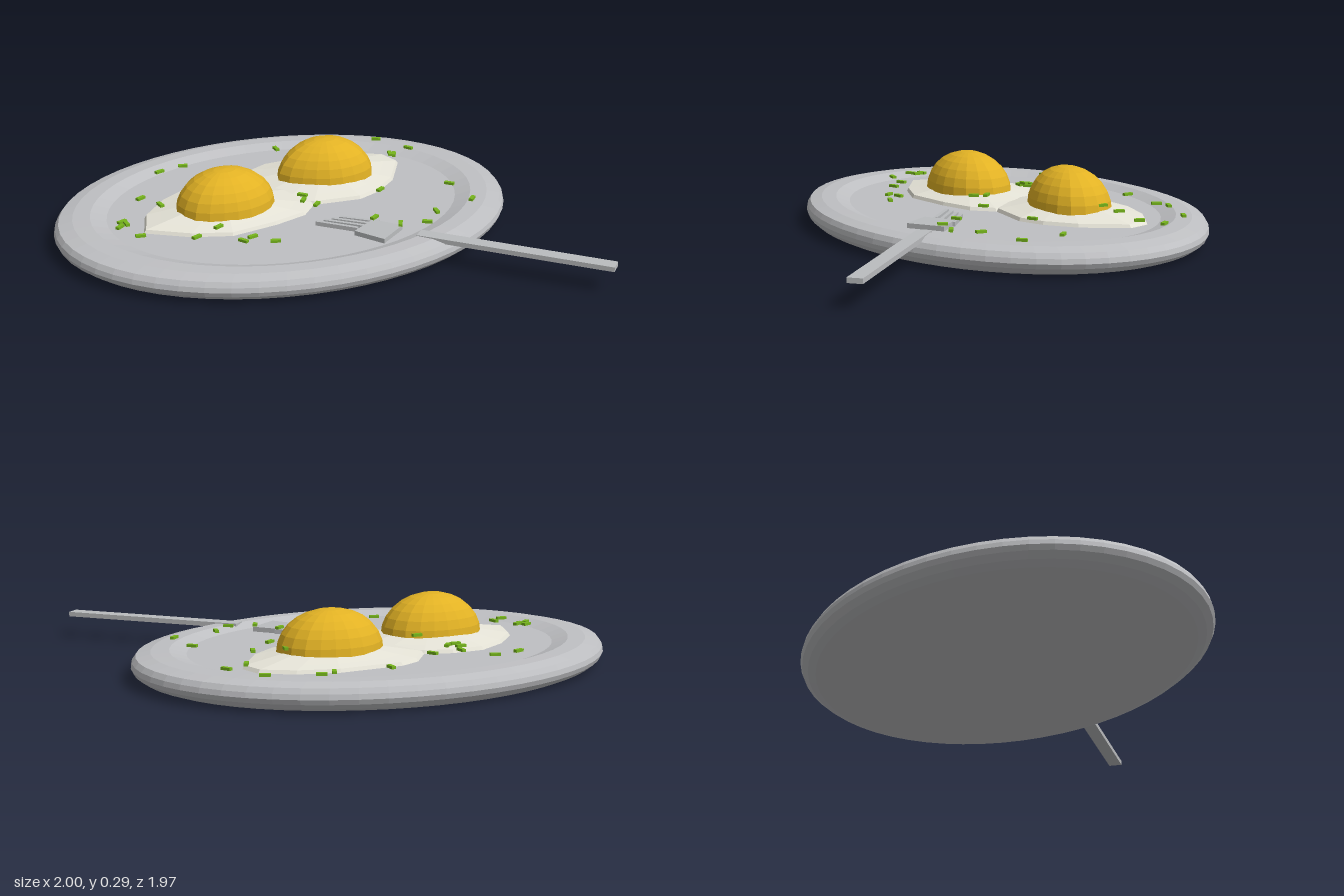
import * as THREE from 'three';

const material = (name, color) => {
  const m = new THREE.MeshStandardMaterial({ color, flatShading: true });
  m.name = name;
  return m;
};

const pairs = (a) => {
  const out = [];
  for (let i = 0; i < a.length; i += 2) out.push([a[i], a[i + 1]]);
  return out;
};

// Mound: an outline shrunk towards its centre, ring by ring, at [scale, y]
function mound(outline, [cx, cz], rings) {
  const n = outline.length, pos = [], index = [];
  rings.forEach(([s, y], r) => outline.forEach(([x, z], i) => {
    pos.push(cx + (x - cx) * s, y, cz + (z - cz) * s);
    if (r + 1 === rings.length) return;
    const a = r * n + i, b = r * n + (i + 1) % n;
    index.push(a, a + n, b);
    if (rings[r + 1][0] > 0) index.push(b, a + n, b + n);
  }));
  const g = new THREE.BufferGeometry();
  g.setAttribute('position', new THREE.Float32BufferAttribute(pos, 3));
  g.setIndex(index);
  const flat = g.toNonIndexed();
  flat.computeVertexNormals();
  return flat;
}

// Rounds a closed outline into n points
function rounded(outline, n) {
  const curve = new THREE.CatmullRomCurve3(outline.map(([x, z]) => new THREE.Vector3(x, 0, z)), true);
  return curve.getSpacedPoints(n).slice(0, n).map((p) => [p.x, p.z]);
}

// Flat bar from one x, z point to another
function bar(from, to, width, y, height) {
  const dx = to[0] - from[0], dz = to[1] - from[1];
  const g = new THREE.BoxGeometry(Math.hypot(dx, dz), height, width);
  g.rotateY(-Math.atan2(dz, dx));
  g.translate((from[0] + to[0]) / 2, y, (from[1] + to[1]) / 2);
  return g;
}

export function createModel() {
  const model = new THREE.Group();
  model.name = 'friedEggsOnPlate';
  const china = material('plate grey', 0xbfc0c3);
  const albumen = material('egg white', 0xe6e4d8);
  const yolkYellow = material('yolk yellow', 0xe2b224);
  const steel = material('fork grey', 0xbbbdbf);
  const green = material('chive green', 0x76b51c);
  const add = (parent, name, geometry, mat) => {
    const mesh = new THREE.Mesh(geometry, mat);
    mesh.name = name;
    parent.add(mesh);
    return mesh;
  };

  // Oval plate with a raised rim
  const profile = pairs([0, 0, 0.92, 0, 0.96, 0.014, 0.99, 0.035, 1, 0.055, 0.995, 0.075,
    0.98, 0.095, 0.92, 0.108, 0.845, 0.11, 0.775, 0.09, 0, 0.09]);
  const plate = new THREE.LatheGeometry(profile.map(([r, y]) => new THREE.Vector2(r, y)), 56);
  plate.scale(1, 1, 0.77);
  plate.translate(0, 0, -0.22);
  add(model, 'plate', plate, china);

  // Two fried eggs that run into each other
  const eggs = [
    {
      name: 'rightEgg', centre: [-0.27, -0.23],
      white: pairs([-0.66, -0.17, -0.6, -0.32, -0.48, -0.44, -0.34, -0.52, -0.2, -0.52, -0.09, -0.48,
        0.04, -0.4, 0.12, -0.3, 0.1, -0.13, 0.02, -0.05, -0.13, -0.01, -0.34, 0.015, -0.5, -0.05]),
      yolk: pairs([-0.485, -0.24, -0.42, -0.35, -0.26, -0.392, -0.1, -0.34, -0.05, -0.23,
        -0.1, -0.12, -0.25, -0.062, -0.44, -0.12]),
    },
    {
      name: 'leftEgg', centre: [0.27, -0.37],
      white: pairs([-0.08, -0.3, -0.09, -0.48, 0, -0.59, 0.09, -0.63, 0.36, -0.63, 0.52, -0.58,
        0.64, -0.5, 0.66, -0.4, 0.54, -0.23, 0.42, -0.14, 0.31, -0.1, 0.1, -0.13, 0, -0.2]),
      yolk: pairs([0.045, -0.37, 0.12, -0.49, 0.25, -0.538, 0.43, -0.48, 0.485, -0.37,
        0.44, -0.25, 0.26, -0.207, 0.11, -0.28]),
    },
  ];
  const dome = [];
  for (let i = 0; i <= 7; i++) {
    const a = (i / 7) * Math.PI / 2;
    dome.push([i === 7 ? 0 : Math.cos(a), 0.118 + 0.17 * Math.sin(a)]);
  }
  for (const { name, centre, white, yolk } of eggs) {
    const egg = new THREE.Group();
    egg.name = name;
    model.add(egg);
    add(egg, 'eggWhite', mound(white, centre,
      [[1, 0.088], [0.97, 0.104], [0.8, 0.114], [0.55, 0.13], [0, 0.13]]), albumen);
    add(egg, 'yolk', mound(rounded(yolk, 20), centre, dome), yolkYellow);
  }

  // Fork resting on the plate, its neck sunk under the rim
  const fork = new THREE.Group();
  fork.name = 'fork';
  model.add(fork);
  const handle = bar([0.335, 0.36], [0.875, 0.965], 0.06, 0.103, 0.02);
  add(fork, 'handle', handle, steel);
  add(fork, 'neck', bar([0.25, 0.28], [0.36, 0.39], 0.04, 0.077, 0.016), steel);
  const headShape = new THREE.Shape(pairs([0.11, -0.225, 0.18, -0.35, 0.315, -0.26, 0.23, -0.155])
    .map(([x, y]) => new THREE.Vector2(x, y)));
  const head = new THREE.ExtrudeGeometry(headShape, { depth: 0.025, bevelEnabled: false });
  head.rotateX(-Math.PI / 2);
  head.translate(0, 0.085, 0);
  add(fork, 'head', head, steel);
  for (let i = 0; i < 4; i++) {
    const x = 0.015 + i * 0.037;
    add(fork, 'prong', bar([x, 0.06], [x + 0.125, 0.195 - i * 0.006], 0.016, 0.099, 0.018), steel);
  }

  // Chopped chives: x, z, turn in degrees
  const onPlate = [
    -0.38, -0.71, -15, -0.26, -0.73, 20, 0.205, -0.74, 90, 0.43, -0.715, -65, 0.49, -0.73, 25,
    0.68, -0.65, 30, 0.76, -0.485, 60, 0.71, -0.03, 50, 0.71, 0.16, -40, 0.505, 0.21, -80,
    0.415, 0.29, 35, 0.305, 0.26, -60, 0.24, 0.155, -30, -0.23, 0.19, 20, -0.295, 0.11, -10,
    -0.345, 0.13, 60, -0.5, 0.015, -20, -0.7, -0.095, 10, -0.745, -0.215, -35, -0.72, -0.26, -20,
    -0.71, -0.235, 90, -0.19, -0.595, 90, -0.06, -0.595, 65, -0.23, -0.525, 0, -0.19, -0.49, -45,
    -0.235, -0.475, 5, 0.66, -0.44, -60, 0.405, -0.1, -30, 0.085, -0.075, -40,
  ];
  const onEggs = [
    -0.41, 0.03, -25, -0.59, -0.385, -25, -0.54, -0.285, 85, -0.1, -0.405, 0,
    0.605, -0.38, -70, 0.475, -0.395, -75, 0.04, -0.12, 50, 0.02, -0.07, -50,
  ];
  const chives = new THREE.Group();
  chives.name = 'chives';
  model.add(chives);
  const chiveGeometry = new THREE.BoxGeometry(0.042, 0.011, 0.017);
  for (const [list, y] of [[onPlate, 0.119], [onEggs, 0.153]]) {
    for (let i = 0; i < list.length; i += 3) {
      const chive = add(chives, 'chive', chiveGeometry, green);
      chive.position.set(list[i], y, list[i + 1]);
      chive.rotation.y = -THREE.MathUtils.degToRad(list[i + 2]);
    }
  }
  return model;
}
